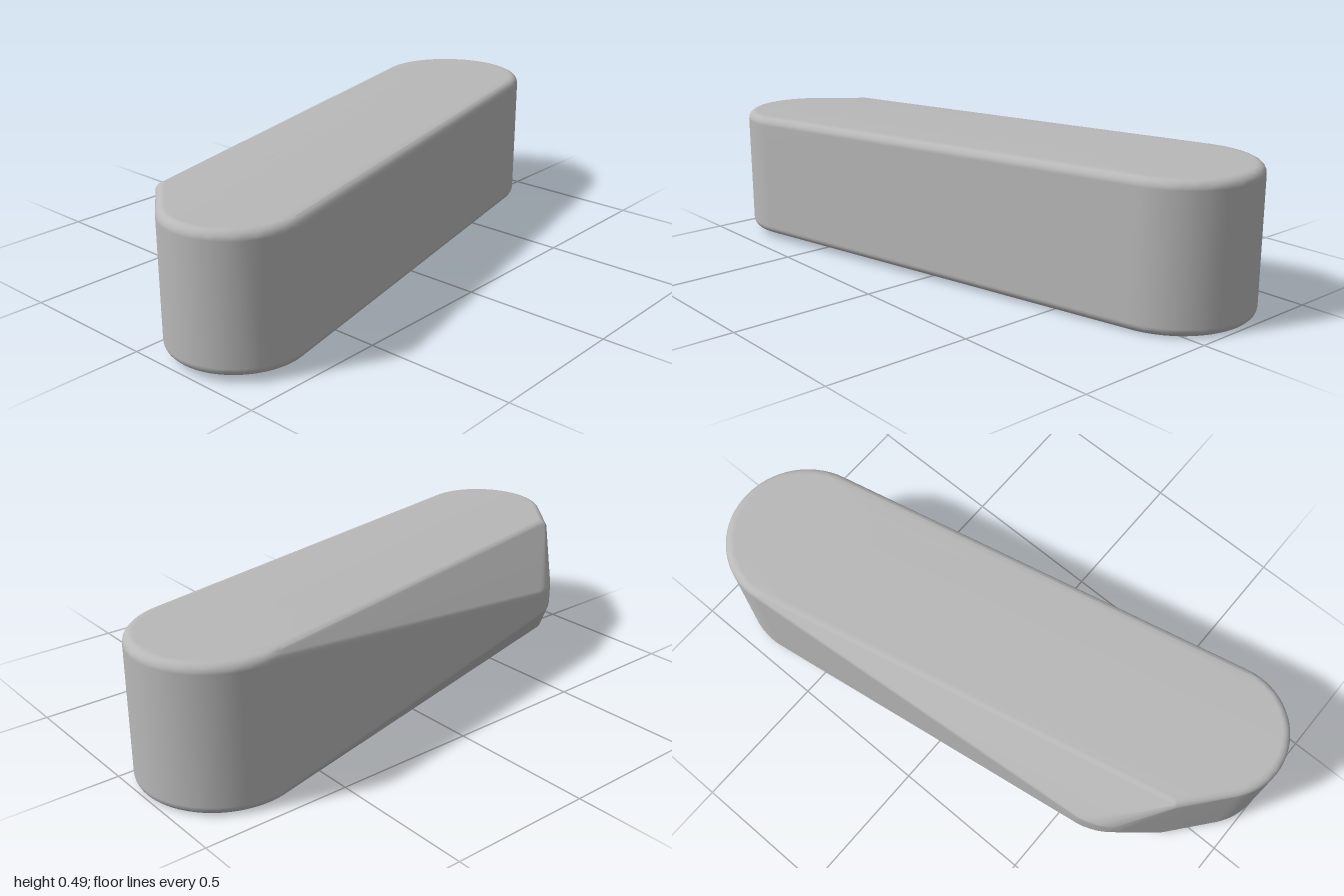
import * as THREE from 'three';
import { mergeVertices } from 'three/addons/utils/BufferGeometryUtils.js';
import { ConvexGeometry } from 'three/addons/geometries/ConvexGeometry.js';

const FILLET = 0.03;
const MID_Y = 0.245;

// Points of an upright disc with rounded rims, symmetric about the mid height
function roundedDisc(x, z, radius, halfHeight, segments = 64) {
  const points = [];
  const steps = 5;
  for (const side of [-1, 1]) {
    for (let i = 0; i <= steps; i++) {
      const a = (i / steps) * Math.PI / 2;
      const r = radius - FILLET + FILLET * Math.cos(a);
      const y = MID_Y + side * (halfHeight - FILLET + FILLET * Math.sin(a));
      if (r < 1e-4) { points.push(new THREE.Vector3(x, y, z)); continue; }
      for (let j = 0; j < segments; j++) {
        const t = (j / segments) * Math.PI * 2;
        points.push(new THREE.Vector3(x + r * Math.cos(t), y, z + r * Math.sin(t)));
      }
    }
  }
  return points;
}

export function createModel() {
  const group = new THREE.Group();
  group.name = 'taperedLever';
  const grey = new THREE.MeshStandardMaterial({ color: 0xb8b8b8 });
  grey.name = 'grey';

  // The body is the smooth skin stretched over four rounded discs
  const points = [
    ...roundedDisc(0.73, -0.17, 0.27, 0.245),          // large end
    ...roundedDisc(-0.77, 0.21, 0.23, 0.225),          // small end
    ...roundedDisc(-0.80, -0.07, FILLET, 0.225, 24),   // corner of the chamfers
    ...roundedDisc(-0.54, -0.04, 0.25, 0.065),         // thin bulge at the back
  ];
  const hull = new ConvexGeometry(points);
  hull.deleteAttribute('normal');
  const geometry = mergeVertices(hull, 1e-5);
  geometry.computeVertexNormals();

  const body = new THREE.Mesh(geometry, grey);
  body.name = 'body';
  group.add(body);
  return group;
}
